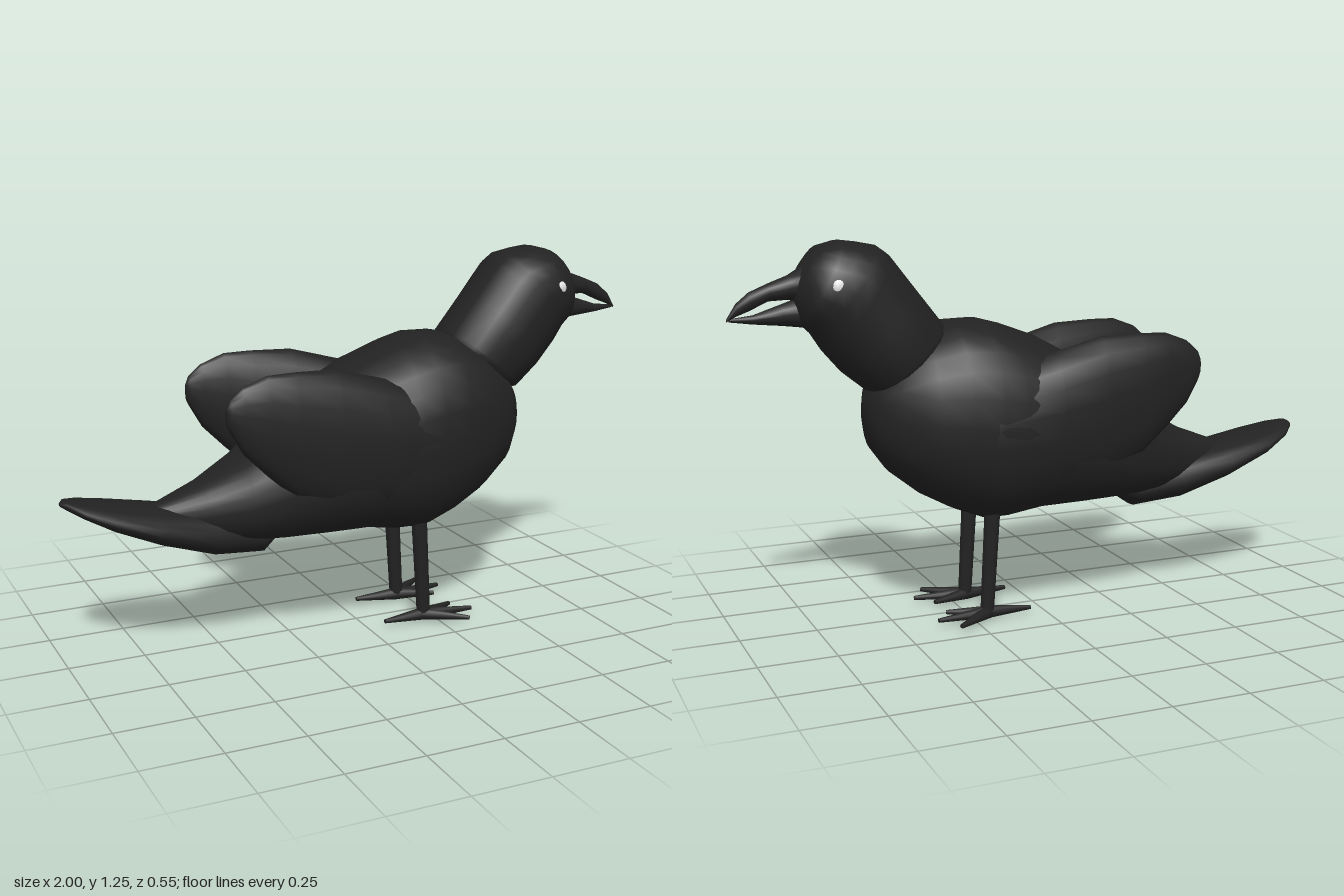
import * as THREE from 'three';

const plumage = new THREE.MeshStandardMaterial({ color: 0x222222 });
plumage.name = 'black plumage';
const eyeWhite = new THREE.MeshStandardMaterial({ color: 0xe4e4e4 });
eyeWhite.name = 'pale eye';

// Skin over rings listed from the front to the rear.
// Each section: [top x, top y, bottom x, bottom y, half width]; power > 2 makes rings boxier.
function loft(sections, { z = () => 0, power = 2, sides = 18 } = {}) {
  const pos = [], index = [];
  const bulge = v => Math.sign(v) * Math.abs(v) ** (2 / power);
  sections.forEach(([ax, ay, bx, by, hw], i) => {
    const cx = (ax + bx) / 2, cy = (ay + by) / 2;
    for (let j = 0; j < sides; j++) {
      const t = (j / sides) * Math.PI * 2, c = bulge(Math.cos(t)), s = bulge(Math.sin(t));
      pos.push(cx + (ax - cx) * c, cy + (ay - cy) * c, z(i) + hw * s);
      if (i === 0) continue;
      const k = (j + 1) % sides, a = (i - 1) * sides, b = i * sides;
      index.push(a + j, b + j, a + k, a + k, b + j, b + k);
    }
  });
  // Close both ends with a fan
  [0, sections.length - 1].forEach(i => {
    const [ax, ay, bx, by] = sections[i], n = pos.length / 3, o = i * sides;
    pos.push((ax + bx) / 2, (ay + by) / 2, z(i));
    for (let j = 0; j < sides; j++) {
      const k = (j + 1) % sides;
      if (i === 0) index.push(n, o + j, o + k);
      else index.push(n, o + k, o + j);
    }
  });
  const g = new THREE.BufferGeometry();
  g.setAttribute('position', new THREE.Float32BufferAttribute(pos, 3));
  g.setIndex(index);
  g.computeVertexNormals();
  return g;
}

// Upright sections: [x, top, bottom, half width]
const upright = rows => rows.map(([x, t, b, w]) => [x, t, x, b, w]);

function part(name, geometry, material = plumage) {
  const m = new THREE.Mesh(geometry, material);
  m.name = name;
  return m;
}

// Tapered rod between two points
function rod(name, from, to, r0, r1, flat = 1) {
  const a = new THREE.Vector3(...from), b = new THREE.Vector3(...to);
  const d = b.clone().sub(a);
  const g = new THREE.CylinderGeometry(r1, r0, d.length(), 8);
  g.scale(1, 1, flat);
  const m = part(name, g);
  m.position.copy(a).add(b).multiplyScalar(0.5);
  // Keep the rod's flattened axis vertical where it lies down
  const y = d.normalize();
  const x = new THREE.Vector3(-y.z, 0, y.x).normalize();
  m.quaternion.setFromRotationMatrix(new THREE.Matrix4().makeBasis(x, y, x.clone().cross(y)));
  return m;
}

export function createModel() {
  const bird = new THREE.Group();
  bird.name = 'bird';

  // Plump body tapering onto the tail
  bird.add(part('body', loft(upright([
    [0.573, 0.74, 0.65, 0.05], [0.555, 0.80, 0.58, 0.105], [0.50, 0.875, 0.505, 0.175],
    [0.40, 0.95, 0.425, 0.235], [0.30, 0.985, 0.37, 0.262], [0.20, 0.987, 0.33, 0.272],
    [0.12, 0.965, 0.332, 0.274], [0, 0.92, 0.35, 0.27], [-0.15, 0.84, 0.352, 0.255],
    [-0.30, 0.73, 0.355, 0.215], [-0.42, 0.635, 0.36, 0.165], [-0.55, 0.565, 0.38, 0.105],
    [-0.70, 0.507, 0.42, 0.05], [-0.78, 0.49, 0.46, 0.01],
  ]), { power: 2.3, sides: 24 })));

  // Broad upturned tail
  bird.add(part('tail', loft(upright([
    [-0.29, 0.41, 0.36, 0.05], [-0.36, 0.45, 0.311, 0.105], [-0.52, 0.475, 0.325, 0.125],
    [-0.70, 0.507, 0.385, 0.138], [-0.85, 0.533, 0.452, 0.122], [-0.94, 0.55, 0.502, 0.085],
    [-0.985, 0.558, 0.53, 0.04], [-1, 0.55, 0.54, 0.01],
  ]), { power: 2.2 })));

  // Neck and head in one sweep, from the brow down to the collar
  bird.add(part('head', loft([
    [0.77, 1.165, 0.79, 1.12, 0.03], [0.745, 1.2, 0.795, 1.09, 0.075],
    [0.71, 1.235, 0.795, 1.06, 0.115], [0.65, 1.25, 0.785, 1.01, 0.144],
    [0.595, 1.243, 0.77, 0.99, 0.157], [0.53, 1.23, 0.745, 0.965, 0.164],
    [0.495, 1.205, 0.71, 0.91, 0.165], [0.41, 1.095, 0.65, 0.84, 0.165],
    [0.325, 0.985, 0.57, 0.775, 0.168], [0.315, 0.95, 0.53, 0.77, 0.14],
  ], { power: 2.2, sides: 20 })));

  // Slightly open beak
  bird.add(part('upperBeak', loft(upright([
    [1, 1.02, 1.012, 0.004], [0.97, 1.067, 1.028, 0.013], [0.93, 1.1, 1.043, 0.02],
    [0.87, 1.125, 1.07, 0.03], [0.81, 1.147, 1.072, 0.04], [0.74, 1.19, 1.06, 0.055],
  ]), { sides: 12 })));
  bird.add(part('lowerBeak', loft(upright([
    [0.992, 1.022, 1.012, 0.004], [0.92, 1.03, 1.002, 0.016], [0.83, 1.06, 0.993, 0.03],
    [0.77, 1.08, 0.985, 0.045], [0.7, 1.08, 0.97, 0.05],
  ]), { sides: 12 })));

  for (const side of [1, -1]) {
    // Folded wing with its rear end standing clear of the back
    const wingZ = [0.12, 0.15, 0.17, 0.18, 0.188, 0.192, 0.192, 0.192, 0.192];
    bird.add(part('wing', loft(upright([
      [0.40, 0.76, 0.56, 0.08], [0.22, 0.82, 0.46, 0.122], [0, 0.885, 0.44, 0.106],
      [-0.16, 0.928, 0.46, 0.088], [-0.30, 0.932, 0.53, 0.067], [-0.39, 0.93, 0.61, 0.05],
      [-0.47, 0.90, 0.69, 0.035], [-0.51, 0.865, 0.76, 0.022], [-0.522, 0.84, 0.785, 0.008],
    ]), { z: i => side * wingZ[i], power: 2.2 })));

    const eye = part('eye', new THREE.SphereGeometry(0.025, 12, 8), eyeWhite);
    eye.scale.z = 0.6;
    eye.position.set(0.685, 1.12, side * 0.142);
    bird.add(eye);

    // Leg and four-toed foot
    const leg = new THREE.Group();
    leg.name = 'leg';
    const z = side * 0.105, ankle = [0.205, 0.03, z];
    leg.add(rod('shank', [0.183, 0.40, z], ankle, 0.028, 0.024));
    for (const [x, dz] of [[0.38, 0.02], [0.33, 0.1], [0.33, -0.05], [0.055, 0.01]]) {
      leg.add(rod('toe', [0.2, 0.026, z], [x, 0.026, z + side * dz], 0.024, 0.008, 0.9));
    }
    bird.add(leg);
  }
  return bird;
}
